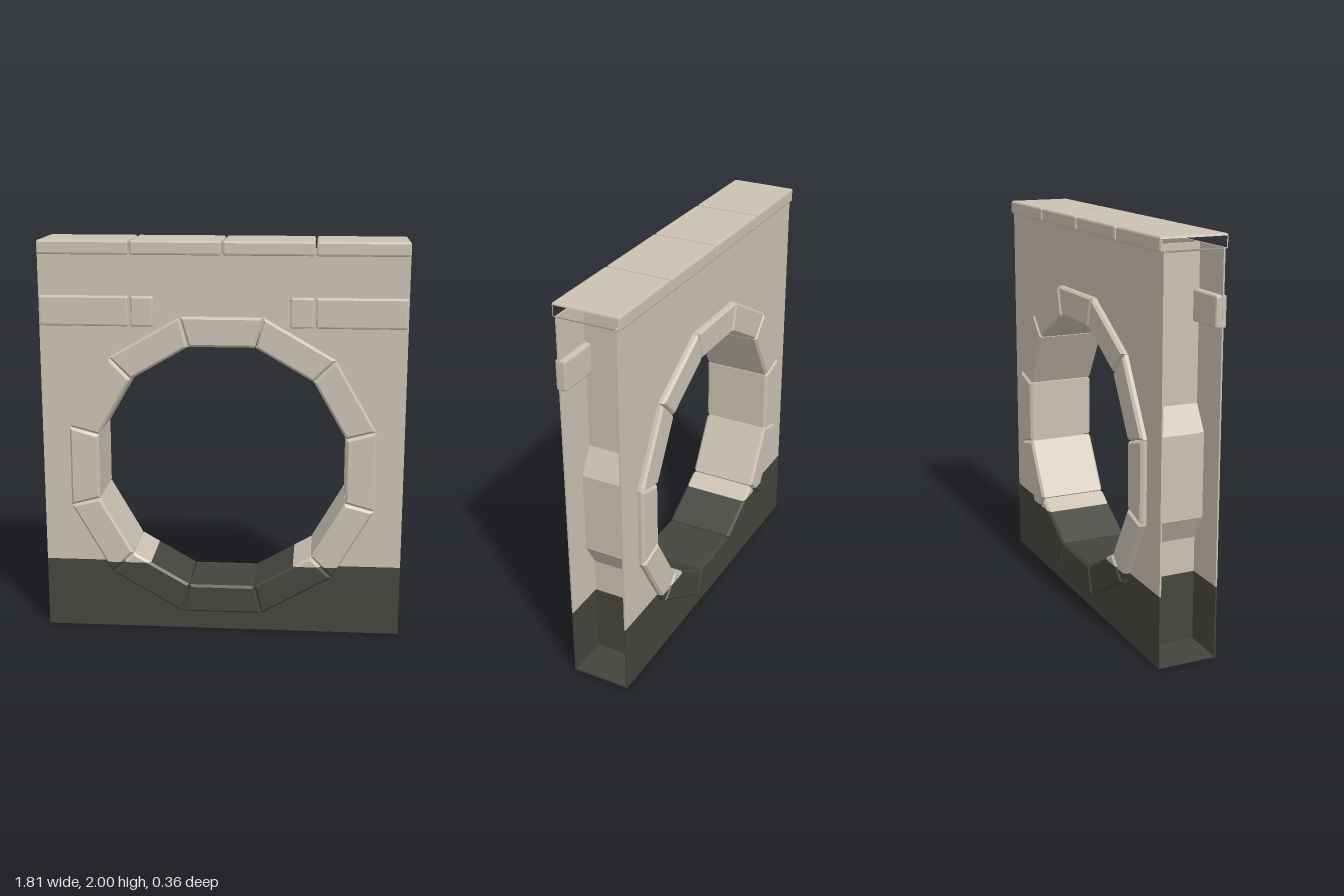
import * as THREE from 'three';
import { RoundedBoxGeometry } from 'three/addons/geometries/RoundedBoxGeometry.js';

const BAND = 0.36;      // height of the dark base band
const CENTRE_Y = 0.865; // middle of the round opening
const SHEET = 0.008;    // thickness of the hollow wall's skins

// Cut a geometry at the band height: group 0 is above it, group 1 below.
function splitAtBand(source, dropEnd = 0) {
  const geo = source.index ? source.toNonIndexed() : source;
  const p = geo.attributes.position;
  const sides = [[], []];
  const normal = new THREE.Vector3();
  for (let i = 0; i < p.count; i += 3) {
    const tri = [0, 1, 2].map((k) => new THREE.Vector3().fromBufferAttribute(p, i + k));
    new THREE.Triangle(...tri).getNormal(normal);
    if (dropEnd && normal.x * dropEnd > 0.99) continue; // leaves one end open
    [1, -1].forEach((sign, side) => {
      const poly = [];
      tri.forEach((a, k) => {
        const b = tri[(k + 1) % 3];
        const da = (a.y - BAND) * sign, db = (b.y - BAND) * sign;
        if (da >= 0) poly.push(a);
        if (da * db < 0) poly.push(a.clone().lerp(b, da / (da - db)));
      });
      for (let k = 1; k + 1 < poly.length; k++) {
        for (const v of [poly[0], poly[k], poly[k + 1]]) sides[side].push(v.x, v.y, v.z);
      }
    });
  }
  const out = new THREE.BufferGeometry();
  out.setAttribute('position', new THREE.Float32BufferAttribute([...sides[0], ...sides[1]], 3));
  out.addGroup(0, sides[0].length / 3, 0);
  out.addGroup(sides[0].length / 3, sides[1].length / 3, 1);
  out.computeVertexNormals(); // unshared corners give flat facets
  return out;
}

// Corner of a twelve-sided ring, k counted from the right
function corner(apothem, k) {
  const a = (k * 30 - 15) * Math.PI / 180, r = apothem / Math.cos(Math.PI / 12);
  return new THREE.Vector2(r * Math.cos(a), CENTRE_Y + r * Math.sin(a));
}

export function createModel() {
  const model = new THREE.Group();
  model.name = 'wallWithRoundOpening';

  const stone = new THREE.MeshStandardMaterial({ color: 0xcbc1b2 });
  stone.name = 'paleStone';
  const base = new THREE.MeshStandardMaterial({ color: 0x45453f });
  base.name = 'darkBase';

  const add = (name, geometry, parent = model, dropEnd = 0) => {
    const mesh = new THREE.Mesh(splitAtBand(geometry, dropEnd), [stone, base]);
    mesh.name = name;
    parent.add(mesh);
  };
  const group = (name) => {
    const g = new THREE.Group();
    g.name = name;
    model.add(g);
    return g;
  };
  const box = (x0, x1, y0, y1, z0, z1) => new THREE.BoxGeometry(x1 - x0, y1 - y0, z1 - z0)
    .translate((x0 + x1) / 2, (y0 + y1) / 2, (z0 + z1) / 2);
  const block = (x0, x1, y0, y1, z0, z1) =>
    new RoundedBoxGeometry(x1 - x0, y1 - y0, z1 - z0, 1, 0.01)
      .translate((x0 + x1) / 2, (y0 + y1) / 2, (z0 + z1) / 2);

  // Front and back skins of the hollow wall, pierced by the opening
  const face = new THREE.Shape([
    new THREE.Vector2(-0.907, 0), new THREE.Vector2(0.907, 0),
    new THREE.Vector2(0.907, 1.94), new THREE.Vector2(-0.907, 1.94),
  ]);
  face.holes.push(new THREE.Path(Array.from({ length: 12 }, (_, k) => corner(0.69, 12 - k))));
  const skin = () => new THREE.ExtrudeGeometry(face, { depth: SHEET, bevelEnabled: false });
  add('frontWall', skin().translate(0, 0, 0.15 - SHEET));
  add('backWall', skin().translate(0, 0, -0.15));

  // Floor, and the recessed panels inside the open ends
  add('floor', box(-0.907, 0.907, 0, SHEET, -0.15, 0.15));
  for (const s of [-1, 1]) {
    const x = s * 0.69;
    add(s > 0 ? 'leftInnerPanel' : 'rightInnerPanel',
      box(x - SHEET / 2, x + SHEET / 2, 0, 1.94, -0.145, 0.145));
  }

  // Ring of twelve bevelled blocks
  const ring = group('openingRing');
  const bevel = 0.012;
  for (let k = 0; k < 12; k++) {
    const outline = new THREE.Shape([
      corner(0.617, k), corner(0.768, k), corner(0.768, k + 1), corner(0.617, k + 1),
    ]);
    add('ringBlock', new THREE.ExtrudeGeometry(outline, {
      depth: 0.36 - 2 * bevel, bevelEnabled: true, bevelSegments: 1,
      bevelSize: bevel, bevelThickness: bevel, bevelOffset: -bevel - 0.002,
    }).translate(0, 0, bevel - 0.18), ring);
  }

  // Four coping slabs along the top, open at the two outer ends
  const coping = group('coping');
  for (let i = 0; i < 4; i++) {
    const x = -0.907 + i * 0.4535;
    add('copingSlab', block(x + (i ? 0.004 : 0), x + 0.4535 - (i < 3 ? 0.004 : 0),
      1.93, 2, -0.167, 0.167), coping, i === 0 ? -1 : i === 3 ? 1 : 0);
  }

  // Raised blocks on the front only, a long and a short one each side
  const trim = group('frontTrim');
  for (const s of [-1, 1]) {
    for (const [name, a, b] of [['longTrimBlock', 0.46, 0.905], ['shortTrimBlock', 0.335, 0.45]]) {
      add(name, block(Math.min(s * a, s * b), Math.max(s * a, s * b), 1.58, 1.73, 0.113, 0.167), trim);
    }
  }
  return model;
}
